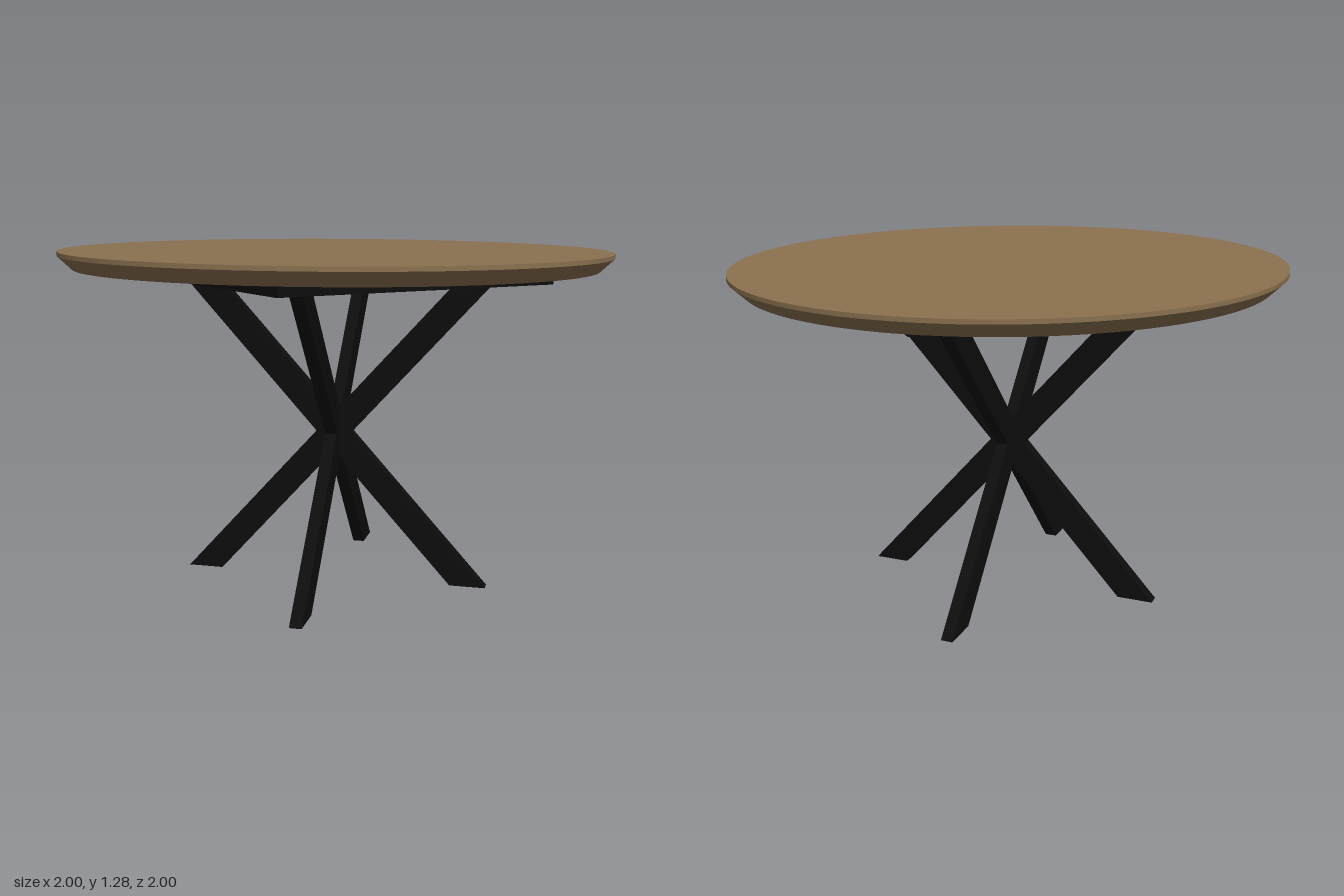
import * as THREE from 'three';

export function createModel() {
  const wood = new THREE.MeshStandardMaterial({ color: 0x8b7150 });
  wood.name = 'brown wood';
  const metal = new THREE.MeshStandardMaterial({ color: 0x0d0d0d });
  metal.name = 'black metal';

  const root = new THREE.Group();
  root.name = 'roundTable';
  // The whole table leans back very slightly
  const table = new THREE.Group();
  table.name = 'table';
  table.rotation.x = -0.0225;
  table.position.z = 0.0284;
  root.add(table);

  const add = (parent, name, geometry, material, x = 0, y = 0, z = 0) => {
    const mesh = new THREE.Mesh(geometry, material);
    mesh.name = name;
    mesh.position.set(x, y, z);
    parent.add(mesh);
    return mesh;
  };

  // Tabletop: thin upright rim over a bevel that narrows downward
  const top = 1.2625, rim = 0.015, bottom = 1.2, segments = 96;
  const bevel = top - rim - bottom;
  const tabletop = new THREE.Group();
  tabletop.name = 'tabletop';
  table.add(tabletop);
  add(tabletop, 'topSurface', new THREE.CircleGeometry(1, segments).rotateX(-Math.PI / 2), wood, 0, top);
  add(tabletop, 'rim', new THREE.CylinderGeometry(1, 1, rim, segments, 1, true), wood, 0, top - rim / 2);
  add(tabletop, 'bevel', new THREE.CylinderGeometry(1, 0.95, bevel, segments, 1, true), wood, 0, bottom + bevel / 2);
  add(tabletop, 'underside', new THREE.CircleGeometry(0.95, segments).rotateX(Math.PI / 2), wood, 0, bottom);

  // Square support frame, its corners on the x and z axes
  const corner = 0.79, barWidth = 0.08, barHeight = 0.048;
  const half = corner / Math.SQRT2;
  const outline = new THREE.Shape([[-1, -1], [1, -1], [1, 1], [-1, 1]]
    .map(([x, y]) => new THREE.Vector2(x * half, y * half)));
  const inner = half - barWidth;
  outline.holes.push(new THREE.Path([[-1, -1], [-1, 1], [1, 1], [1, -1]]
    .map(([x, y]) => new THREE.Vector2(x * inner, y * inner))));
  const frame = new THREE.ExtrudeGeometry(outline, { depth: barHeight, bevelEnabled: false });
  frame.rotateX(-Math.PI / 2).rotateY(Math.PI / 4);
  add(table, 'supportFrame', frame, metal, 0, bottom - barHeight);

  // Each leg is a slanted flat bar with level ends
  const foot = 0.0135, legTop = 1.155, spread = 0.517, halfWidth = 0.067, thickness = 0.045;
  const legShape = new THREE.Shape([
    [-spread - halfWidth, foot], [-spread + halfWidth, foot],
    [spread + halfWidth, legTop], [spread - halfWidth, legTop],
  ].map(([x, y]) => new THREE.Vector2(x, y)));
  const leg = new THREE.ExtrudeGeometry(legShape, { depth: thickness, bevelEnabled: false });
  leg.translate(0, 0, -thickness / 2);

  // Diagonal brace bars between opposite frame corners, and the crossed legs
  const brace = new THREE.BoxGeometry(2 * (corner - 0.09), barHeight, 0.07);
  for (const turn of [0, Math.PI / 2]) {
    add(table, 'diagonalBrace', brace, metal, 0, bottom - barHeight / 2).rotation.y = turn;
  }
  for (let i = 0; i < 4; i++) {
    add(table, 'crossedLeg', leg, metal).rotation.y = i * Math.PI / 2;
  }
  return root;
}
